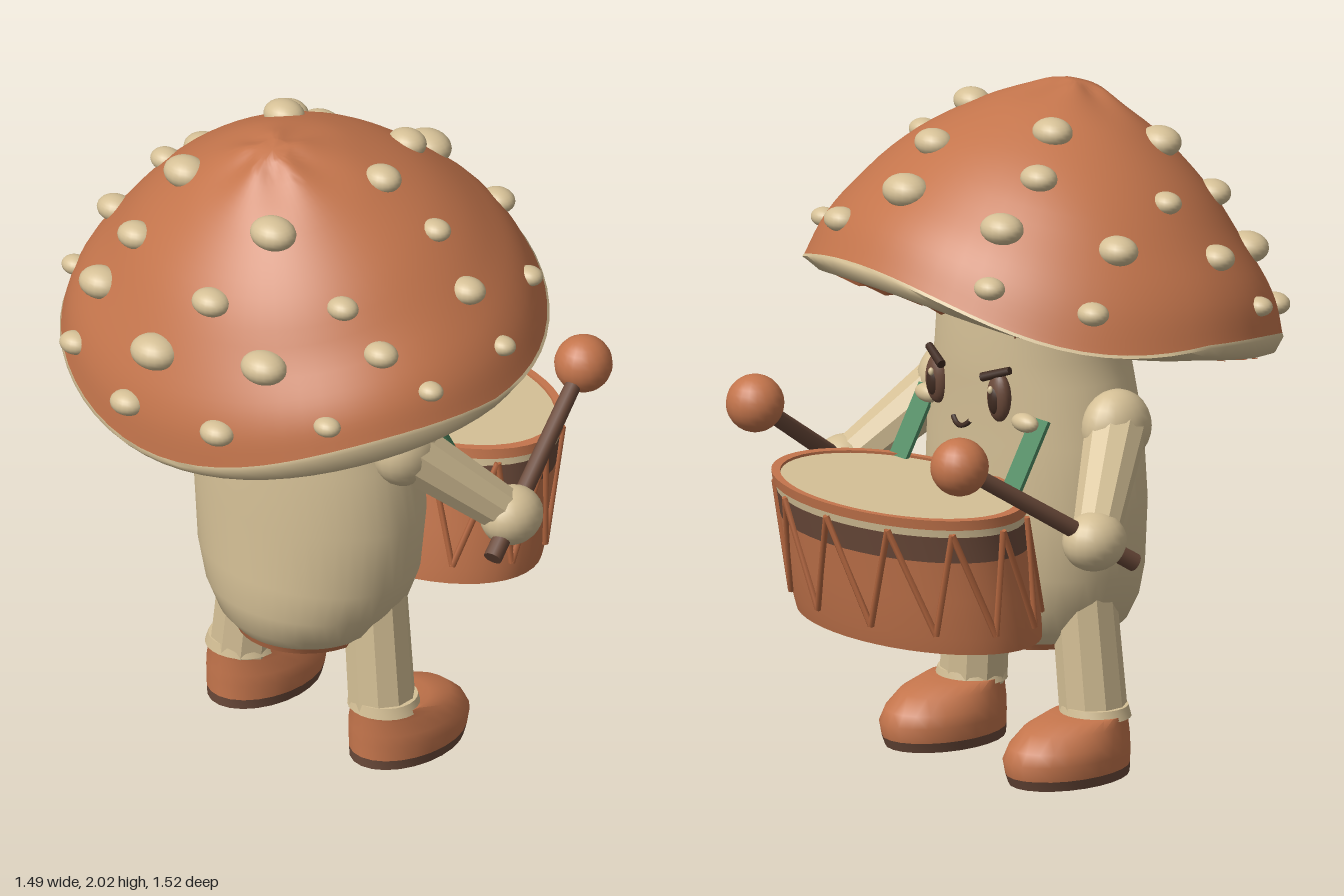
import * as THREE from 'three';
import { mergeVertices, toCreasedNormals } from 'three/addons/utils/BufferGeometryUtils.js';

const V = (x, y, z) => new THREE.Vector3(x, y, z);
const paint = (name, color) => Object.assign(new THREE.MeshStandardMaterial({ color }), { name });

export function createModel() {
  const orange = paint('terracotta', 0xc4754c);
  const cream = paint('cream', 0xd5c096);
  const rust = paint('rust', 0xb3663f);
  const brown = paint('dark wood', 0x6b4a3a);
  const dark = paint('face brown', 0x412c22);
  const green = paint('strap green', 0x4f8a62);

  const model = new THREE.Group();
  model.name = 'mushroomDrummer';

  function add(name, geo, mat, parent = model) {
    const m = new THREE.Mesh(geo, mat);
    m.name = name;
    parent.add(m);
    return m;
  }
  // Stack of elliptical rings [y, rx, rz, zCentre], listed bottom to top; shape() may move each vertex
  function rings(rows, seg = 40, crease = 0.75, shape = null) {
    const g = new THREE.LatheGeometry(rows.map(r => new THREE.Vector2(1, r[0])), seg);
    const p = g.attributes.position;
    const v = V(0, 0, 0);
    for (let i = 0; i < p.count; i++) {
      const [y, rx, rz, zc = 0] = rows[i % rows.length];
      v.set(p.getX(i) * rx, y, p.getZ(i) * rz + zc);
      if (shape) shape(v, Math.atan2(p.getX(i), p.getZ(i)), rx);
      p.setXYZ(i, v.x, v.y, v.z);
    }
    g.deleteAttribute('uv');
    g.deleteAttribute('normal');
    return toCreasedNormals(mergeVertices(g, 1e-5), crease);
  }
  // Round bar between two points
  function bar(name, a, b, ra, rb, mat, seg = 12, flat = false) {
    let g = new THREE.CylinderGeometry(rb, ra, a.distanceTo(b), seg);
    if (flat) {
      g = g.toNonIndexed();
      g.computeVertexNormals();
    }
    const m = add(name, g, mat);
    m.position.copy(a).lerp(b, 0.5);
    m.quaternion.setFromUnitVectors(V(0, 1, 0), b.clone().sub(a).normalize());
    return m;
  }
  function ball(name, pos, scale, mat) {
    const m = add(name, new THREE.SphereGeometry(1, 20, 14), mat);
    m.position.copy(pos);
    m.scale.copy(scale);
    return m;
  }

  // Cap: tilted dome with a wavy edge, pale lip and underside
  const cap = new THREE.Group();
  cap.name = 'cap';
  cap.position.set(0, 1.38, 0.09);
  cap.rotation.x = 0.285;
  model.add(cap);
  const squash = 0.915;
  const ring = (r, y) => [y, r, r * squash];
  const wave = a => 0.042 * (Math.cos(a) - Math.cos(3 * a)) + 0.04 * Math.sin(a) * Math.abs(Math.cos(a));
  const clamp = THREE.MathUtils.clamp;
  const profile = new THREE.SplineCurve([[0.74, 0], [0.70, 0.11], [0.625, 0.22], [0.465, 0.395],
    [0.28, 0.53], [0.13, 0.605], [0.045, 0.638]].map(p => new THREE.Vector2(...p))).getPoints(30);
  const domeGeo = rings([...profile.map(p => ring(p.x, p.y)), ring(0, 0.638)], 64, 1.2, (v, a, r) => {
    const h = v.y;
    v.y += wave(a) * clamp(1 - h / 0.3, 0, 1);
    // Soft pleats gathered around the tip
    v.y += 0.011 * Math.max(0, 1 - r / 0.28) * clamp((r - 0.045) / 0.05, 0, 1) * Math.cos(5 * a);
    v.z -= 0.04 * h / 0.638;
  });
  const dome = add('capDome', domeGeo, orange, cap);
  const under = r => clamp((r - 0.3) / 0.4, 0, 1) * 0.45;
  add('capLip', rings([ring(0, -0.03), ring(0.3, -0.035), ring(0.6, -0.05), ring(0.69, -0.055),
    ring(0.73, -0.035), ring(0.745, -0.008), ring(0.738, 0.004)], 64, 1.2, (v, a, r) => {
    v.y += wave(a) * (v.y > -0.02 ? 1 : under(r));
  }), cream, cap);

  // Gills: slim diamond ridges below the cap
  for (let i = 0; i < 28; i++) {
    const a = i / 28 * Math.PI * 2, half = i % 2 ? 0.13 : 0.18;
    const g = new THREE.OctahedronGeometry(1);
    g.scale(0.014, 0.03, half);
    g.translate(0, -0.053, 0.69 - half);
    g.rotateY(a);
    g.scale(1, 1, squash);
    g.translate(0, wave(a) * under(0.69 - half), 0);
    add('gill', g, rust, cap);
  }

  // Spots: flattened pebbles placed where a ray meets the dome
  model.updateMatrixWorld(true);
  const caster = new THREE.Raycaster();
  function spot(origin, dir, size) {
    caster.set(origin, dir);
    const hit = caster.intersectObject(dome)[0];
    if (hit) ball('capSpot', hit.point, V(size, size * 0.66, size * 0.85), cream);
  }
  [[-0.27, 1.86, 0.07], [0.15, 1.85, 0.073], [-0.33, 1.69, 0.06], [0.06, 1.66, 0.061],
    [-0.41, 1.53, 0.07], [-0.08, 1.48, 0.077], [0.28, 1.53, 0.073], [-0.65, 1.43, 0.043],
    [-0.44, 1.35, 0.05], [-0.14, 1.31, 0.055], [0.20, 1.33, 0.055], [0.50, 1.40, 0.043]]
    .forEach(([x, y, s]) => spot(V(x, y, 3), V(0, 0, -1), s));
  [[-0.37, -0.44, 0.05], [0.28, -0.45, 0.055], [-0.31, -0.34, 0.07], [0.06, -0.39, 0.076],
    [-0.60, -0.24, 0.052], [-0.29, -0.18, 0.06], [0.12, -0.23, 0.062], [0.55, -0.28, 0.043],
    [-0.55, -0.10, 0.066], [-0.19, -0.04, 0.065], [0.26, 0.04, 0.06], [0.44, 0.01, 0.048],
    [0.58, 0.03, 0.058], [0.69, 0, 0.042], [-0.49, 0.14, 0.05], [-0.60, 0.24, 0.058],
    [0.41, 0.39, 0.05], [0.54, 0.37, 0.055], [0.67, 0.30, 0.042]]
    .forEach(([x, z, s]) => spot(V(x, 3, z), V(0, -1, 0), s));

  // Stem body with a coloured base
  add('body', rings([[0.38, 0.22, 0.22, 0.075], [0.42, 0.27, 0.25, 0.075], [0.5, 0.32, 0.27, 0.075],
    [0.6, 0.36, 0.274, 0.068], [0.8, 0.383, 0.274, 0.063], [1.0, 0.365, 0.275, 0.06],
    [1.18, 0.32, 0.27, 0.05], [1.25, 0.3, 0.27, 0.045], [1.42, 0.29, 0.26, 0.045]], 48, 1.2), cream);
  add('bodyBase', rings([[0.36, 0, 0, 0.075], [0.36, 0.205, 0.212, 0.075], [0.38, 0.22, 0.22, 0.075]]), orange);

  // Drum: oval shell leaning under the body
  const drumZ = y => -0.39 - 0.08 * (y - 0.48) / 0.42;
  const dr = (y, k) => [y, 0.45 * k, 0.283 * k, drumZ(y)];
  add('drumShell', rings([dr(0.48, 0.985), dr(0.53, 1), dr(0.65, 1), dr(0.77, 1)], 48), orange);
  add('drumBottom', rings([dr(0.48, 0), dr(0.48, 0.985)], 48), brown);
  add('drumBand', rings([dr(0.77, 1), dr(0.85, 1)], 48), brown);
  add('drumSkinEdge', rings([dr(0.85, 1), dr(0.875, 1)], 48), cream);
  add('drumRim', rings([dr(0.875, 0.98), dr(0.875, 1.02), dr(0.905, 1.02), dr(0.905, 0.95), dr(0.885, 0.95)], 48), orange);
  add('drumSkin', rings([dr(0.897, 0.96), dr(0.897, 0)], 48), cream);
  const drumPoint = (a, y) => V(Math.sin(a) * 0.456, y, Math.cos(a) * 0.288 + drumZ(y));
  for (let i = 0; i < 24; i++) {
    const step = Math.PI / 12;
    bar('drumLacing', drumPoint(i * step, i % 2 ? 0.54 : 0.86),
      drumPoint((i + 1) * step, i % 2 ? 0.86 : 0.54), 0.01, 0.01, rust, 6);
  }

  // Mouth
  const smile = new THREE.QuadraticBezierCurve3(V(-0.038, 1.062, -0.226), V(0, 1.02, -0.24), V(0.038, 1.062, -0.226));
  add('mouth', new THREE.TubeGeometry(smile, 10, 0.008, 6), dark);

  for (const s of [-1, 1]) {
    // Eyes, brows and cheeks
    ball('eye', V(s * 0.137, 1.15, -0.2), V(0.042, 0.075, 0.03), brown);
    ball('eyePupil', V(s * 0.137, 1.145, -0.207), V(0.028, 0.052, 0.028), dark);
    ball('eyeGlint', V(s * 0.132, 1.175, -0.23), V(0.009, 0.012, 0.008), cream);
    bar('eyebrow', V(s * 0.09, 1.205, -0.226), V(s * 0.18, 1.238, -0.196), 0.014, 0.012, dark, 8);
    ball('cheek', V(s * 0.215, 1.082, -0.168), V(0.05, 0.028, 0.03), cream);

    // Strap from chest to drum
    const strap = add('strap', new THREE.BoxGeometry(0.075, 0.25, 0.012), green);
    strap.position.set(s * 0.25, 0.985, -0.2);
    strap.rotation.x = 0.53;

    // Arm, hand and drumstick
    const hand = V(s * 0.555, 0.8, -0.195), shoulder = V(s * 0.365, 1.06, 0.055);
    ball('shoulder', shoulder, V(0.09, 0.113, 0.113), cream);
    bar('arm', shoulder, hand, 0.092, 0.068, cream, 10, true);
    ball('hand', hand, V(0.088, 0.088, 0.1), cream);
    const tip = V(s * 0.455, 1.085, -0.63);
    bar('drumstick', V(s * 0.59, 0.72, -0.07), tip, 0.028, 0.024, brown);
    ball('drumstickHead', tip, V(0.086, 0.086, 0.086), orange);

    // Leg and boot
    bar('leg', V(s * 0.268, 0.17, 0.052), V(s * 0.23, 0.56, 0.043), 0.1, 0.096, cream, 10, true);
    const boot = new THREE.Group();
    boot.name = 'boot';
    boot.position.x = s * 0.275;
    model.add(boot);
    add('sole', rings([[0, 0, 0, -0.05], [0, 0.137, 0.202, -0.05], [0.03, 0.142, 0.208, -0.055]], 24), brown, boot);
    add('bootUpper', rings([[0.03, 0.142, 0.208, -0.055], [0.075, 0.147, 0.212, -0.06], [0.11, 0.142, 0.202, -0.05],
      [0.155, 0.124, 0.173, -0.024], [0.182, 0.11, 0.125, 0.025], [0.182, 0, 0, 0.05]], 24, 0.95), orange, boot);
    add('bootCuff', rings([[0.17, 0.112, 0.104, 0.05], [0.203, 0.1, 0.098, 0.05], [0.203, 0, 0, 0.05]], 24), cream, boot);
  }
  return model;
}
